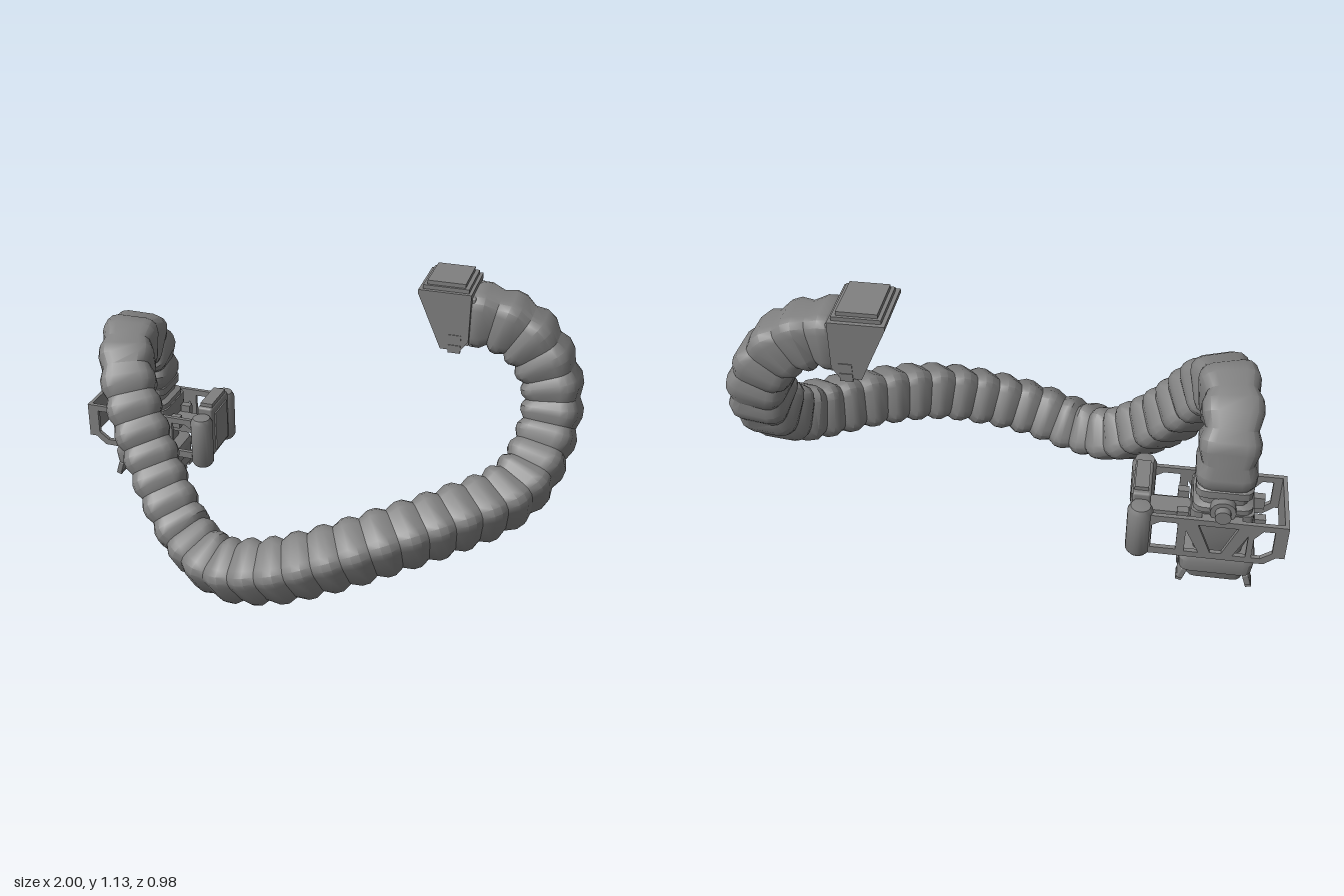
import * as THREE from 'three';
import { toCreasedNormals } from 'three/addons/utils/BufferGeometryUtils.js';
import { RoundedBoxGeometry } from 'three/addons/geometries/RoundedBoxGeometry.js';

const V = (x, y, z) => new THREE.Vector3(x, y, z);

// Rounded square outline: corners of radius r on half sizes a, b
function roundedSquare(a, b, r) {
  const pts = [];
  [[1, 1], [-1, 1], [-1, -1], [1, -1]].forEach(([sx, sy], q) => {
    for (let k = 0; k < 4; k++) {
      const t = (q + k / 3) * Math.PI / 2;
      pts.push([sx * (a - r) + r * Math.cos(t), sy * (b - r) + r * Math.sin(t)]);
    }
  });
  return pts;
}

// Skin over rings of equal length, closed at both ends
function skin(rings, crease) {
  const n = rings[0].length, pos = [], idx = [];
  rings.forEach(r => r.forEach(p => pos.push(p.x, p.y, p.z)));
  for (let i = 0; i + 1 < rings.length; i++) {
    for (let j = 0; j < n; j++) {
      const a = i * n + j, b = i * n + (j + 1) % n;
      idx.push(a, b, b + n, a, b + n, a + n);
    }
  }
  const last = (rings.length - 1) * n;
  for (let j = 1; j + 1 < n; j++) {
    idx.push(0, j + 1, j, last, last + j, last + j + 1);
  }
  const g = new THREE.BufferGeometry();
  g.setAttribute('position', new THREE.Float32BufferAttribute(pos, 3));
  g.setIndex(idx);
  return toCreasedNormals(g, crease);
}

// Upright body from [y, half x, half z] levels
function stack(cx, cz, levels, r) {
  return skin(levels.map(([y, hx, hz]) =>
    roundedSquare(hz, hx, r).map(([z, x]) => V(cx + x, y, cz + z))), 0.5);
}

function hoseGeometry() {
  const path = new THREE.CatmullRomCurve3([
    [.55, .985, -.335], [.66, .975, -.335], [.77, .92, -.335], [.85, .82, -.33],
    [.885, .72, -.315], [.89, .62, -.28], [.875, .53, -.22], [.84, .45, -.13],
    [.77, .4, -.03], [.6, .36, .12], [.4, .31, .25], [.2, .24, .33], [0, .17, .365],
    [-.2, .125, .335], [-.36, .17, .25], [-.48, .29, .175], [-.58, .43, .1],
    [-.66, .57, .04], [-.72, .69, -.04], [-.755, .75, -.15], [-.77, .72, -.26],
    [-.77, .62, -.32], [-.77, .5, -.325],
  ].map(p => V(...p)), false, 'centripetal');
  path.arcLengthDivisions = 800;
  const ribs = 35, steps = [[0, .091], [.32, .106], [.62, .106]];
  const stations = [];
  for (let i = 0; i < ribs; i++) steps.forEach(([o, h]) => stations.push([(i + o) / ribs, h]));
  stations.push([1, .091]);

  // Carry the frame along the path, then spread the leftover twist
  let T0 = path.getTangentAt(0), N = V(0, 1, 0);
  const frames = stations.map(([u, h]) => {
    const T = path.getTangentAt(u);
    N = N.clone().applyQuaternion(new THREE.Quaternion().setFromUnitVectors(T0, T));
    N.addScaledVector(T, -N.dot(T)).normalize();
    T0 = T;
    return { u, h, c: path.getPointAt(u), T, N };
  });
  const end = frames[frames.length - 1];
  const B = end.T.clone().cross(end.N);
  let twist = Math.atan2(B.x, end.N.x);
  twist -= Math.round(twist / (Math.PI / 2)) * Math.PI / 2;
  return skin(frames.map(f => {
    const n = f.N.clone().applyAxisAngle(f.T, twist * f.u);
    const b = f.T.clone().cross(n);
    return roundedSquare(f.h, f.h, f.h * .5).map(([p, q]) =>
      f.c.clone().addScaledVector(n, p).addScaledVector(b, q));
  }), 0.6);
}

// Plate in the xy plane, centred on z, with optional holes
function plate(points, z, depth, holes = []) {
  const toV = list => list.map(p => new THREE.Vector2(...p));
  const s = new THREE.Shape(toV(points));
  holes.forEach(h => s.holes.push(new THREE.Path(toV(h))));
  return new THREE.ExtrudeGeometry(s, { depth, bevelEnabled: false }).translate(0, 0, z - depth / 2);
}

export function createModel() {
  const grey = new THREE.MeshStandardMaterial({ color: 0x808080 });
  const root = new THREE.Group();
  const add = (name, geo, parent = root) => {
    const m = new THREE.Mesh(geo, grey);
    m.name = name;
    parent.add(m);
    return m;
  };
  const box = (name, parent, x0, x1, y0, y1, z0, z1, r = 0) => {
    const s = [x1 - x0, y1 - y0, z1 - z0];
    const g = r ? new RoundedBoxGeometry(...s, 2, r) : new THREE.BoxGeometry(...s);
    return add(name, g.translate((x0 + x1) / 2, (y0 + y1) / 2, (z0 + z1) / 2), parent);
  };

  add('ribbedHose', hoseGeometry());

  // Feed hood: sloped open scoop
  const hood = new THREE.Group();
  hood.name = 'feedHood';
  root.add(hood);
  const side = [[.378, 1.1], [.378, 1.085], [.47, .88], [.545, .88], [.572, .92], [.572, 1.1]];
  for (const z of [-.443, -.222]) add('hoodSide', plate(side, z, .014), hood);
  box('hoodTop', hood, .378, .572, 1.085, 1.1, -.443, -.222);
  box('hoodCap', hood, .392, .56, 1.1, 1.115, -.435, -.23);
  box('hoodLid', hood, .405, .545, 1.115, 1.13, -.425, -.24);
  box('hoodBack', hood, .53, .572, .9, 1.09, -.44, -.225);
  box('hoodSill', hood, .475, .54, .88, .895, -.44, -.225);
  for (const z of [-.447, -.218]) {
    box('hoodLatch', hood, .5, .545, .91, .94, z - .006, z + .006);
    box('hoodLatch', hood, .5, .545, .87, .9, z - .006, z + .006);
  }
  box('hoseCollar', hood, .57, .585, .89, 1.08, -.43, -.24, .006);

  // Claw head under the other end of the hose
  const head = new THREE.Group();
  head.name = 'clawHead';
  root.add(head);
  const cx = -.77, cz = -.33;
  add('neck', stack(cx, cz, [[.4, .105, .1], [.44, .105, .1], [.45, .085, .085], [.475, .085, .085],
    [.48, .1, .095], [.51, .1, .095], [.525, .08, .08], [.56, .08, .08]], .035), head);
  add('body', stack(cx, cz, [[.2, .085, .08], [.25, .09, .09], [.33, .11, .105], [.42, .11, .105]], .025), head);
  add('lowerRing', stack(cx, cz, [[.125, .115, .1], [.14, .132, .115], [.19, .137, .12],
    [.21, .13, .115], [.22, .1, .095]], .04), head);
  add('footPlate', stack(cx, cz, [[.09, .1, .09], [.13, .11, .1]], .03), head);
  const knob = add('knob', new THREE.CylinderGeometry(.045, .045, .24, 16), head);
  knob.rotation.x = Math.PI / 2;
  knob.position.set(cx, .44, cz);
  const axle = add('knobAxle', new THREE.CylinderGeometry(.028, .028, .295, 16), head);
  axle.rotation.x = Math.PI / 2;
  axle.position.set(cx, .44, cz);

  for (const s of [-1, 1]) {
    // Splayed claws with small toes
    const claw = new THREE.Group();
    claw.name = 'claw';
    claw.position.set(cx + s * .118, .108, cz);
    claw.rotation.z = s * .3;
    head.add(claw);
    box('clawPlate', claw, -.011, .011, -.018, .032, -.112, .112, .005);
    for (const z of [-.08, 0, .08]) box('clawToe', claw, -.011, .011, -.03, -.017, z - .026, z + .026);
    // Ribs on the faces of the body
    for (const z of [-.055, .055]) {
      box('bodyLug', head, cx + s * .135 - .02, cx + s * .135 + .02, .33, .38, cz + z - .015, cz + z + .015);
    }
  }

  // Truss frames along both sides
  const outline = [[-1, .27], [-.97, .27], [-.93, .235], [-.47, .235], [-.47, .4], [-.52, .415], [-1, .415]];
  const windows = [
    [[-.955, .29], [-.915, .26], [-.885, .26], [-.885, .35], [-.915, .39], [-.955, .39]],
    [[-.865, .26], [-.82, .26], [-.865, .36]],
    [[-.83, .39], [-.78, .265], [-.74, .265], [-.69, .39]],
    [[-.7, .26], [-.65, .26], [-.65, .36]],
    [[-.62, .265], [-.53, .265], [-.53, .37], [-.56, .39], [-.62, .39]],
  ];
  for (const z of [-.462, -.202]) {
    add('trussFrame', plate(outline, z, .016, windows), head);
    box('frameMount', head, -.84, -.7, .39, .415, z < cz ? z : -.26, z < cz ? -.4 : z);
  }
  box('endHandle', head, -1, -.985, .27, .415, -.462, -.202);

  // Twin canisters and the panel between them
  const profile = [[0, .22], [.035, .22], [.045, .235], [.045, .415], [.035, .435], [0, .44]]
    .map(p => new THREE.Vector2(...p));
  for (const z of [-.445, -.198]) {
    add('canister', toCreasedNormals(new THREE.LatheGeometry(profile, 20), .7).translate(-.487, 0, z), head);
  }
  box('canisterPanel', head, -.52, -.455, .24, .46, -.415, -.235, .01);
  box('panelInset', head, -.457, -.449, .26, .43, -.385, -.26);
  box('panelTop', head, -.51, -.46, .455, .475, -.395, -.25);
  box('panelLink', head, -.67, -.515, .3, .35, -.37, -.29);
  return root;
}
